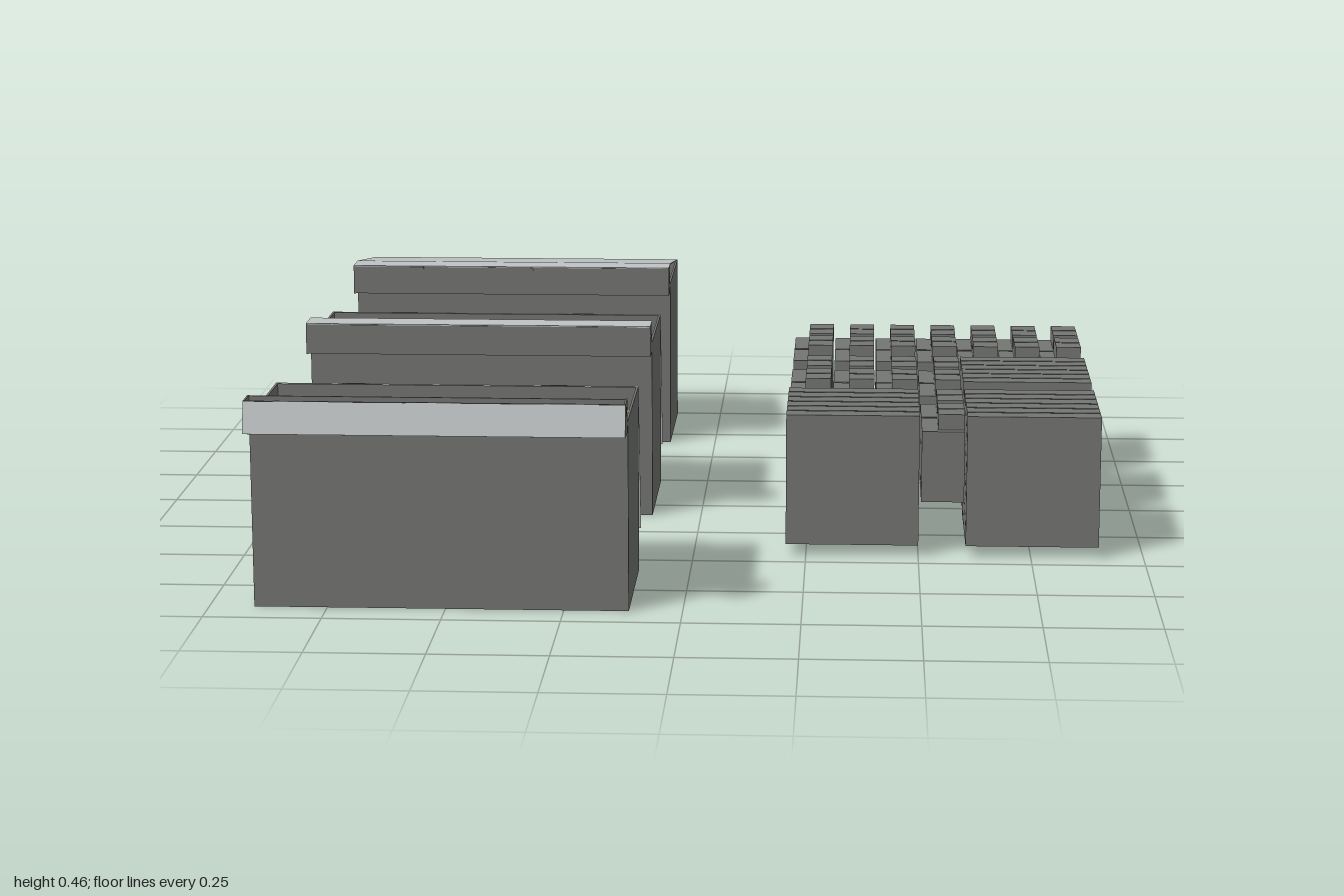
import * as THREE from 'three';

export function createModel() {
  const model = new THREE.Group();
  const darkGrey = new THREE.MeshStandardMaterial({ color: 0x747673 });
  const lightGrey = new THREE.MeshStandardMaterial({ color: 0xc0c4c4 });
  const yellow = new THREE.MeshStandardMaterial({ color: 0xcfcb78 });

  // Axis-aligned box given by its minimum and maximum corners
  function block(parent, name, mat, x0, x1, y0, y1, z0, z1) {
    const mesh = new THREE.Mesh(new THREE.BoxGeometry(x1 - x0, y1 - y0, z1 - z0), mat);
    mesh.position.set((x0 + x1) / 2, (y0 + y1) / 2, (z0 + z1) / 2);
    mesh.name = name;
    parent.add(mesh);
    return mesh;
  }

  const L = -0.905, R = -0.113, TOP = 0.41;

  // Thin tilted panel running across the bin between two (z, y) points
  function panel(parent, name, z0, y0, z1, y1) {
    const len = Math.hypot(z1 - z0, y1 - y0);
    const mesh = new THREE.Mesh(new THREE.BoxGeometry(R - L, 0.003, len), lightGrey);
    mesh.position.set((L + R) / 2, (y0 + y1) / 2, (z0 + z1) / 2);
    mesh.rotation.x = Math.atan2(y0 - y1, z1 - z0);
    mesh.name = name;
    parent.add(mesh);
  }

  // Square end plate of the channel, with a round hole
  const plate = new THREE.Shape([[-0.0275, -0.035], [0.0275, -0.035], [0.0275, 0.035], [-0.0275, 0.035]]
    .map(([x, y]) => new THREE.Vector2(x, y)));
  plate.holes.push(new THREE.Path().absarc(0, 0.012, 0.011, 0, Math.PI * 2, true));
  const plateGeo = new THREE.ExtrudeGeometry(plate, { depth: 0.004, bevelEnabled: false, curveSegments: 10 });
  plateGeo.rotateY(Math.PI / 2);

  // Open bin whose front wall is at z = 0, with a channel along its front
  function bin(z, lidOpen, stripOpen) {
    const g = new THREE.Group();
    g.name = 'bin';
    g.position.z = z;
    const back = -0.335, t = 0.005;
    block(g, 'binFloor', darkGrey, L, R, 0, 0.01, back, 0);
    block(g, 'frontWall', darkGrey, L, R, 0.01, TOP, -t, 0);
    block(g, 'backWall', darkGrey, L, R, 0.01, TOP, back, back + t);
    block(g, 'rightWall', darkGrey, L, L + t, 0.01, TOP, back + t, -t);
    block(g, 'leftWall', darkGrey, R - t, R, 0.01, TOP, back + t, -t);
    block(g, 'contents', yellow, L + t, R - t, 0.01, 0.36, back + t, -t);

    // Channel
    block(g, 'channelFloor', darkGrey, L, R, 0.39, 0.395, 0.01, 0.065);
    block(g, 'channelShelf', darkGrey, L, R, 0.4, TOP, 0, 0.01);
    block(g, 'channelFront', darkGrey, L, R, 0.395, 0.458, 0.061, 0.065);
    block(g, 'channelBack', darkGrey, L, R, 0.395, 0.458, 0.01, 0.014);
    for (const x of [L, R - 0.004]) {
      const end = new THREE.Mesh(plateGeo, darkGrey);
      end.position.set(x, 0.424, 0.0375);
      end.name = 'channelEnd';
      g.add(end);
    }

    // Hinged cover strip and lid
    if (stripOpen) panel(g, 'channelCover', 0.067, 0.458, 0.084, 0.392);
    else panel(g, 'channelCover', -0.005, 0.459, 0.065, 0.459);
    if (lidOpen) panel(g, 'lid', -0.41, 0.075, -0.338, TOP);
    else panel(g, 'lid', -0.338, TOP, -0.005, 0.459);

    // Hinges
    for (const x of [-0.785, -0.51, -0.225])
      block(g, 'coverHinge', darkGrey, x - 0.057, x + 0.057, 0.452, 0.459, 0.064, 0.068);
    for (const x of [-0.73, -0.295])
      block(g, 'lidHinge', darkGrey, x - 0.03, x + 0.03, 0.403, 0.411, -0.339, -0.334);
    model.add(g);
  }
  bin(0.915, true, true);
  bin(0.095, true, false);
  bin(-0.662, false, false);

  // Small canister with a raised, two-part top
  function canister(x, z) {
    const g = new THREE.Group();
    g.name = 'canister';
    g.position.set(x, 0, z);
    block(g, 'canisterBody', darkGrey, 0, 0.095, 0.125, 0.285, 0, 0.138);
    block(g, 'canisterNeck', darkGrey, 0.036, 0.095, 0.285, 0.303, 0, 0.12);
    block(g, 'canisterCap', darkGrey, 0.036, 0.095, 0.303, 0.32, 0, 0.056);
    block(g, 'canisterCap', darkGrey, 0.036, 0.095, 0.303, 0.32, 0.062, 0.12);
    model.add(g);
  }

  // Pairs of canisters, filling columns of a tray
  function canisters(firstColumn, count, z) {
    for (let i = 0; i < count; i++)
      for (let j = 0; j < 2; j++) canister(0.205 + (firstColumn + i) * 0.1, z + j * 0.147);
  }

  // Six upright slabs standing one behind the other
  function slabs(x, z) {
    for (let i = 0; i < 6; i++)
      block(model, 'slab', darkGrey, x, x + 0.295, 0.025, 0.32, z + i * 0.0485, z + i * 0.0485 + 0.043);
  }

  const rows = [-0.605, -0.215, 0.155];
  canisters(0, 7, rows[0]);
  canisters(0, 4, rows[1]);
  slabs(0.605, rows[1]);
  slabs(0.205, rows[2]);
  canisters(3, 1, rows[2]);
  slabs(0.605, rows[2]);

  return model;
}
